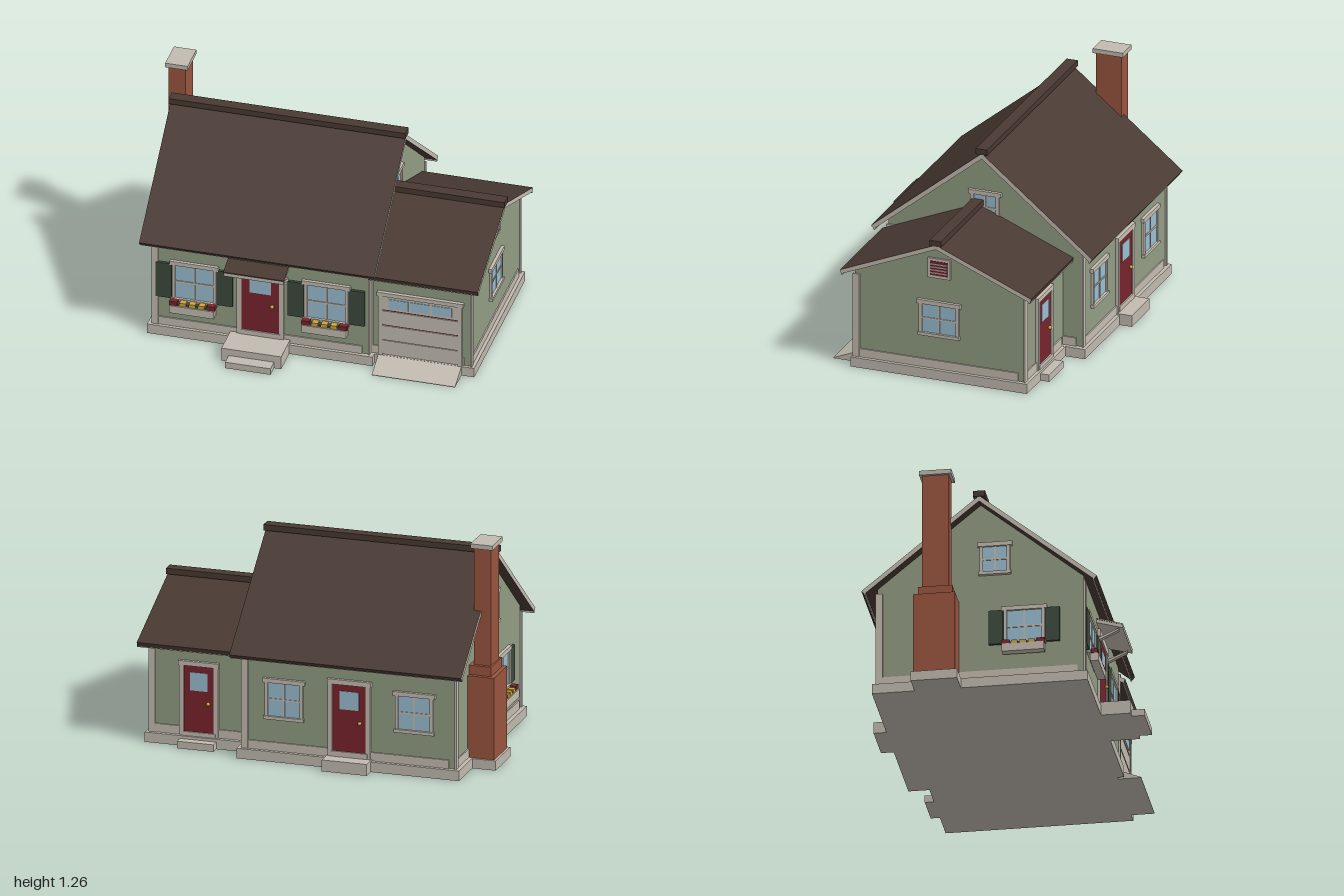
import * as THREE from 'three';

const mat = (name, color) => Object.assign(new THREE.MeshStandardMaterial({ color }), { name });
const wall = mat('sage siding', 0x929e84);
const trim = mat('warm white trim', 0xc6beb2);
const roofMat = mat('brown shingle', 0x493932);
const brick = mat('brick', 0x9a553f);
const red = mat('dark red paint', 0x78242c);
const glass = mat('window glass', 0x9abfd2);
const dark = mat('dark green shutter', 0x3d4a3d);
const gold = mat('gold', 0xd0a53c);
const concrete = mat('concrete', 0xc2bbb0);

const group = (name, parent) => {
  const g = new THREE.Group();
  g.name = name;
  parent.add(g);
  return g;
};

// box given by its extents on each axis
function box(parent, name, m, [x0, x1], [y0, y1], [z0, z1]) {
  const mesh = new THREE.Mesh(new THREE.BoxGeometry(x1 - x0, y1 - y0, z1 - z0), m);
  mesh.position.set((x0 + x1) / 2, (y0 + y1) / 2, (z0 + z1) / 2);
  mesh.name = name;
  parent.add(mesh);
  return mesh;
}

// (z, y) outline extruded along x from x0 to x1
function prism(parent, name, m, pts, x0, x1, cz = 0) {
  const shape = new THREE.Shape(pts.map(([z, y]) => new THREE.Vector2(-z, y)));
  const geo = new THREE.ExtrudeGeometry(shape, { depth: x1 - x0, bevelEnabled: false });
  geo.rotateY(Math.PI / 2);
  const mesh = new THREE.Mesh(geo, m);
  mesh.position.set(x0, 0, cz);
  mesh.name = name;
  parent.add(mesh);
  return mesh;
}

// local frame on a wall, facing outward along its own +z
function onWall(parent, name, x, z, turn) {
  const g = group(name, parent);
  g.position.set(x, 0, z);
  g.rotation.y = turn;
  return g;
}
const FRONT = 0, RIGHT = Math.PI / 2, BACK = Math.PI, LEFT = -Math.PI / 2;

// four-pane window; w and y0..y1 measure the glass
function addWindow(parent, name, x, z, turn, w, y0, y1, { shutter = 0, flowers = 0, boxTop = 0.22 } = {}) {
  const g = onWall(parent, name, x, z, turn), h = w / 2, ym = (y0 + y1) / 2;
  box(g, 'glass', glass, [-h, h], [y0, y1], [0, 0.006]);
  for (const s of [-1, 1]) {
    const a = s * h, b = s * (h + 0.018);
    box(g, 'sideCasing', trim, [Math.min(a, b), Math.max(a, b)], [y0, y1], [0, 0.014]);
  }
  box(g, 'header', trim, [-h - 0.03, h + 0.03], [y1, y1 + 0.024], [0, 0.018]);
  box(g, 'sill', trim, [-h - 0.024, h + 0.024], [y0 - 0.018, y0], [0, 0.02]);
  box(g, 'verticalMuntin', trim, [-0.005, 0.005], [y0, y1], [0, 0.01]);
  box(g, 'horizontalMuntin', trim, [-h, h], [ym - 0.005, ym + 0.005], [0, 0.01]);
  if (shutter) for (const s of [-1, 1]) {
    const c = s * (h + 0.021 + shutter / 2);
    box(g, 'shutter', dark, [c - shutter / 2, c + shutter / 2], [y0 - 0.005, y1 + 0.005], [0, 0.015]);
  }
  if (flowers) {
    box(g, 'flowerBox', trim, [-flowers / 2, flowers / 2], [boxTop - 0.046, boxTop], [0.018, 0.064]);
    box(g, 'foliage', dark, [-flowers / 2 + 0.012, flowers / 2 - 0.012], [boxTop, boxTop + 0.012], [0.026, 0.054]);
    for (let i = 0; i < 5; i++) {
      const c = (i - 2) * flowers * 0.21, end = i === 0 || i === 4, r = end ? 0.023 : 0.017;
      box(g, 'flower', end ? red : gold, [c - r, c + r], [boxTop, boxTop + (end ? 0.025 : 0.021)], [0.024, 0.058]);
    }
  }
}

// panel door with a window, casing and knob
function addDoor(parent, name, x, z, turn, w, y0, y1, head) {
  const g = onWall(parent, name, x, z, turn), h = w / 2;
  box(g, 'doorPanel', red, [-h, h], [y0, y1], [0, 0.01]);
  box(g, 'doorGlass', glass, [-h * 0.58, h * 0.58], [y1 - 0.14, y1 - 0.037], [0.008, 0.013]);
  for (const s of [-1, 1]) {
    const c = s * (h + 0.013);
    box(g, 'doorCasing', trim, [c - 0.013, c + 0.013], [0.057, y1], [0, 0.016]);
  }
  box(g, 'threshold', trim, [-h - 0.01, h + 0.01], [0.057, y0], [0, 0.018]);
  box(g, 'doorHeader', trim, [-h - 0.03, h + 0.03], [y1, y1 + head], [0, 0.018]);
  const knob = new THREE.Mesh(new THREE.SphereGeometry(0.011, 10, 8), gold);
  knob.position.set(h * 0.64, (y0 + y1) / 2 - 0.02, 0.018);
  knob.name = 'knob';
  g.add(knob);
}

// gabled body with corner boards and baseboards
function addBody(parent, name, x0, x1, cz, half, eave, ridge) {
  const g = group(name, parent);
  prism(g, 'walls', wall, [[-half, 0.03], [half, 0.03], [half, eave], [0, ridge], [-half, eave]], x0, x1, cz);
  const sides = [
    [(x0 + x1) / 2, cz + half, FRONT, (x1 - x0) / 2], [x1, cz, RIGHT, half],
    [(x0 + x1) / 2, cz - half, BACK, (x1 - x0) / 2], [x0, cz, LEFT, half],
  ];
  for (const [x, z, turn, h] of sides) {
    const s = onWall(g, 'wallTrim', x, z, turn);
    box(s, 'cornerBoard', trim, [-h - 0.01, -h + 0.028], [0.057, eave - 0.03], [0, 0.01]);
    box(s, 'baseboard', trim, [-h + 0.028, h - 0.034], [0.057, 0.105], [0, 0.007]);
  }
}

// gable roof: shingle faces, pale rake ends, fascias and ridge cap
function addRoof(parent, name, x0, x1, cz, half, eave, ridge, t) {
  const g = group(name, parent), slope = (ridge - eave) / half, n = t * slope * 0.6;
  prism(g, 'roofSlab', [trim, roofMat], [
    [half, eave], [0, ridge], [-half, eave], [-half + n, eave - t + n * slope], [0, ridge - t], [half - n, eave - t + n * slope],
  ], x0, x1, cz);
  for (const s of [-1, 1]) {
    const z = cz + s * (half - n - 0.004);
    box(g, 'fascia', trim, [x0, x1], [eave - t + n * slope - 0.004, eave - 0.006], [z - 0.004, z + 0.004]);
  }
  box(g, 'ridgeCap', roofMat, [x0 - 0.005, x1 + 0.005], [ridge - 0.006, ridge + 0.027], [cz - 0.033, cz + 0.033]);
}

export function createModel() {
  const house = new THREE.Group();
  house.name = 'house';

  // foundations, steps and driveway
  const base = group('groundworks', house);
  box(base, 'mainFoundation', concrete, [-0.867, 0.397], [0, 0.057], [-0.67, 0.51]);
  box(base, 'garageFoundation', concrete, [0.36, 0.957], [0, 0.056], [-0.555, 0.472]);
  box(base, 'chimneyFoundation', concrete, [-1, -0.84], [0, 0.055], [-0.437, -0.183]);
  box(base, 'frontPorch', concrete, [-0.405, -0.07], [0, 0.078], [0.48, 0.672]);
  box(base, 'frontStep', concrete, [-0.365, -0.11], [0, 0.038], [0.67, 0.743]);
  box(base, 'backStep', concrete, [-0.366, -0.11], [0, 0.065], [-0.74, -0.64]);
  box(base, 'garageBackStep', concrete, [0.55, 0.757], [0, 0.04], [-0.605, -0.54]);
  prism(base, 'drivewayRamp', concrete, [[0.46, 0], [0.6, 0], [0.6, 0.003], [0.472, 0.055], [0.46, 0.055]], 0.418, 0.885);

  // main house and garage shells
  addBody(house, 'mainHouse', -0.837, 0.367, -0.079, 0.564, 0.632, 1.095);
  addBody(house, 'garage', 0.36, 0.932, -0.037, 0.492, 0.572, 0.78);
  addRoof(house, 'mainRoof', -0.897, 0.422, -0.079, 0.644, 0.602, 1.125, 0.032);
  addRoof(house, 'garageRoof', 0.372, 0.99, -0.037, 0.556, 0.574, 0.805, 0.026);

  // stepped chimney
  const chimney = group('chimney', house);
  box(chimney, 'chimneyBase', brick, [-0.987, -0.83], [0.05, 0.52], [-0.425, -0.197]);
  box(chimney, 'chimneyShoulder', brick, [-0.963, -0.835], [0.52, 0.573], [-0.402, -0.215]);
  box(chimney, 'chimneyStack', brick, [-0.954, -0.858], [0.57, 1.24], [-0.381, -0.235]);
  box(chimney, 'chimneyCap', concrete, [-0.969, -0.843], [1.236, 1.262], [-0.396, -0.22]);

  // windows
  for (const x of [-0.607, 0.134]) {
    addWindow(house, 'frontWindow', x, 0.485, FRONT, 0.212, 0.242, 0.45, { shutter: 0.088, flowers: 0.25 });
    addWindow(house, 'backWindow', x, -0.643, BACK, 0.18, 0.255, 0.445);
  }
  addWindow(house, 'leftWindow', -0.837, 0.16, LEFT, 0.19, 0.26, 0.45, { shutter: 0.078, flowers: 0.23, boxTop: 0.232 });
  addWindow(house, 'leftAtticWindow', -0.837, 0.0, LEFT, 0.13, 0.69, 0.84);
  addWindow(house, 'rightAtticWindow', 0.367, -0.079, RIGHT, 0.13, 0.715, 0.863);
  addWindow(house, 'garageWindow', 0.932, -0.037, RIGHT, 0.195, 0.264, 0.43);

  // doors
  addDoor(house, 'frontDoor', -0.236, 0.485, FRONT, 0.21, 0.107, 0.487, 0.045);
  addDoor(house, 'backDoor', -0.238, -0.643, BACK, 0.19, 0.095, 0.475, 0.028);
  addDoor(house, 'garageBackDoor', 0.654, -0.529, BACK, 0.17, 0.08, 0.455, 0.026);

  // canopy over the front door
  const canopy = group('canopy', house);
  prism(canopy, 'canopyRoof', [trim, roofMat], [[0.48, 0.583], [0.63, 0.537], [0.63, 0.53], [0.48, 0.576]], -0.407, -0.067);
  prism(canopy, 'canopyFrame', trim, [[0.48, 0.575], [0.63, 0.53], [0.63, 0.512], [0.48, 0.555]], -0.405, -0.069);
  for (const x of [-0.385, -0.092])
    prism(canopy, 'bracket', trim, [[0.49, 0.512], [0.607, 0.516], [0.607, 0.505], [0.49, 0.45], [0.485, 0.465], [0.58, 0.51]].filter((p, i) => i !== 0 && i !== 5), x - 0.012, x + 0.012);

  // sectional garage door with a glazed top panel
  const gd = onWall(house, 'garageDoor', 0.653, 0.455, FRONT);
  box(gd, 'doorBacking', red, [-0.212, 0.212], [0.057, 0.432], [0, 0.006]);
  for (const [y0, y1] of [[0.064, 0.148], [0.153, 0.241], [0.249, 0.335], [0.344, 0.432]])
    box(gd, 'doorSection', trim, [-0.212, 0.212], [y0, y1], [0, 0.012]);
  for (const c of [-0.122, 0, 0.122])
    box(gd, 'doorPane', glass, [c - 0.055, c + 0.055], [0.356, 0.414], [0.01, 0.015]);
  for (const s of [-1, 1])
    box(gd, 'doorJamb', trim, [s * 0.223 - 0.012, s * 0.223 + 0.012], [0.057, 0.432], [0, 0.018]);
  box(gd, 'doorHeader', trim, [-0.242, 0.242], [0.43, 0.454], [0, 0.02]);

  // louvred gable vent on the garage
  const vent = onWall(house, 'gableVent', 0.932, -0.037, RIGHT);
  box(vent, 'ventFrame', trim, [-0.066, 0.066], [0.59, 0.705], [0, 0.012]);
  box(vent, 'ventOpening', red, [-0.05, 0.05], [0.606, 0.69], [0.01, 0.014]);
  for (let i = 0; i < 4; i++)
    box(vent, 'ventSlat', trim, [-0.05, 0.05], [0.619 + i * 0.017, 0.625 + i * 0.017], [0.01, 0.018]);

  return house;
}
